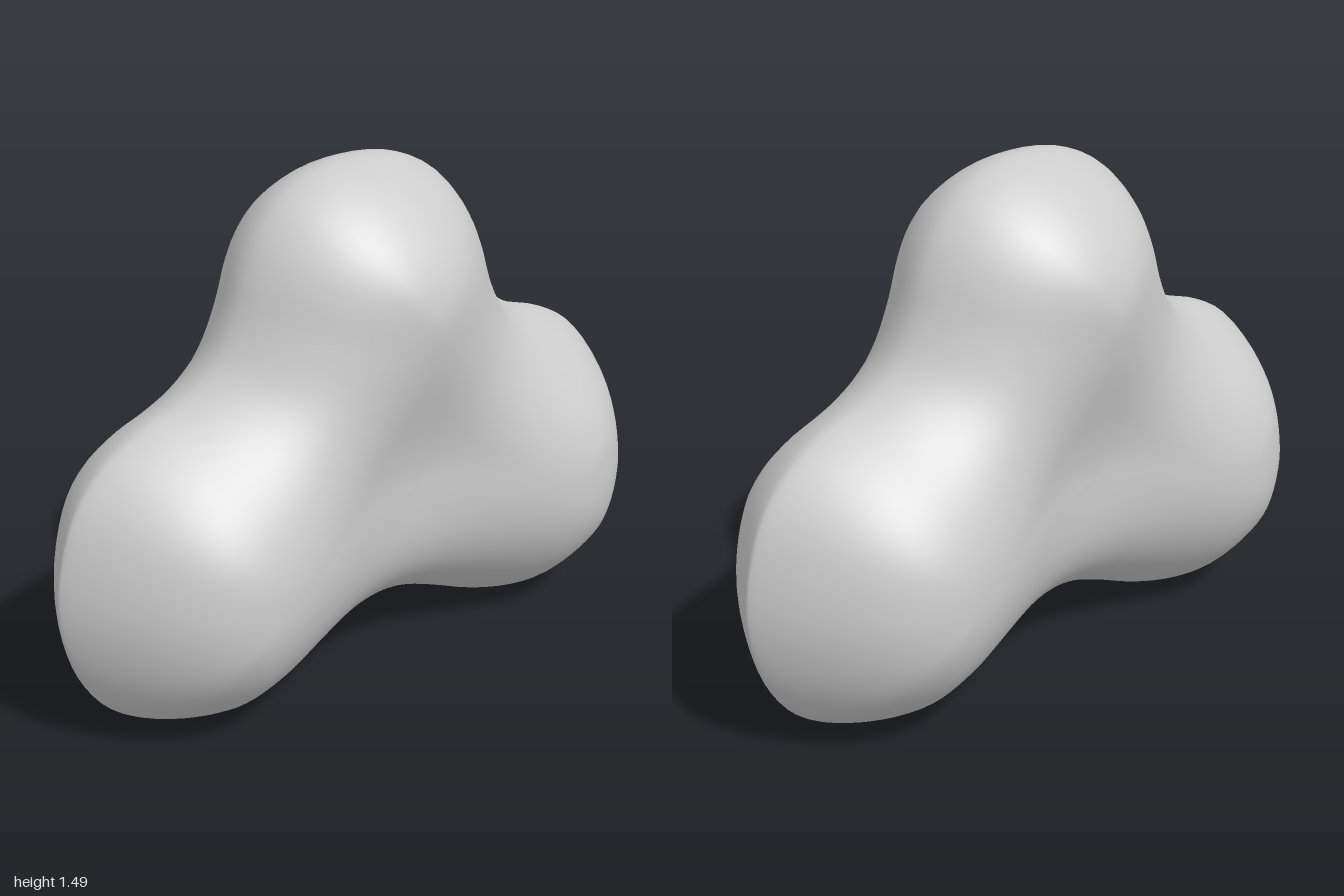
import * as THREE from 'three';

// Half outline of the three-lobed body in the z-y plane, from the crown down to the underside
const HALF = [
  [0, 1.495], [0.13, 1.48], [0.25, 1.425], [0.335, 1.335], [0.385, 1.235], [0.42, 1.13],
  [0.485, 1.01], [0.585, 0.935], [0.72, 0.89], [0.83, 0.83], [0.92, 0.735], [0.975, 0.61],
  [1, 0.46], [0.985, 0.33], [0.94, 0.21], [0.86, 0.105], [0.74, 0.035], [0.57, 0.003],
  [0.42, 0.035], [0.25, 0.105], [0.12, 0.15], [0, 0.165],
];
const CORE = [0, 0.6];    // z, y of the middle
const ROUND = 0.44;       // distance over which the sides curve in to the rim
const AROUND = 144, ROWS = 64;

function outline() {
  const mirrored = HALF.slice(1, -1).reverse().map(([z, y]) => [-z, y]);
  const points = [...HALF, ...mirrored].map(([z, y]) => new THREE.Vector3(0, y, z));
  return new THREE.CatmullRomCurve3(points, true).getSpacedPoints(AROUND).slice(0, AROUND);
}

// Shortest distance from (z, y) to the outline
function rimDistance(z, y, rim) {
  let best = Infinity;
  for (let i = 0; i < rim.length; i++) {
    const a = rim[i], b = rim[(i + 1) % rim.length];
    const dz = b.z - a.z, dy = b.y - a.y;
    const t = THREE.MathUtils.clamp(((z - a.z) * dz + (y - a.y) * dy) / (dz * dz + dy * dy), 0, 1);
    best = Math.min(best, Math.hypot(z - a.z - dz * t, y - a.y - dy * t));
  }
  return best;
}

// Half thickness: full in the lobes, dipping at the core, closing to zero at the rim
function halfWidth(z, y, rim) {
  const full = 0.378 + 0.017 * THREE.MathUtils.smoothstep(Math.abs(z), 0.1, 0.5);
  const dip = 0.115 * Math.exp(-((z - CORE[0]) ** 2) / 0.13 - (y - CORE[1]) ** 2 / 0.12);
  const t = 1 - Math.min(1, rimDistance(z, y, rim) / ROUND);
  const q = Math.max(0, 1 - t * t);
  // Round section, leaner towards the front and back ends
  const end = Math.max(0, (Math.abs(z) - 0.57) / 0.43);
  const lean = 0.42 + 0.45 * Math.min(1, end);
  return (full - dip) * THREE.MathUtils.lerp(Math.sqrt(q), q, lean);
}

function bodyGeometry() {
  const rim = outline();
  const positions = [], index = [];
  // Rows run from the left pole, over the rim, to the right pole
  for (let j = 0; j <= ROWS; j++) {
    const angle = (Math.PI * j) / ROWS;
    const s = Math.sin(angle), side = Math.sign(ROWS / 2 - j);
    for (let i = 0; i < AROUND; i++) {
      const z = CORE[0] + (rim[i].z - CORE[0]) * s;
      const y = CORE[1] + (rim[i].y - CORE[1]) * s;
      positions.push(side * halfWidth(z, y, rim), y, z);
      if (j === ROWS) continue;
      const a = j * AROUND + i, b = j * AROUND + ((i + 1) % AROUND);
      const c = a + AROUND, d = b + AROUND;
      if (j < ROWS - 1) index.push(a, c, d);
      if (j > 0) index.push(a, d, b);
    }
  }
  const geometry = new THREE.BufferGeometry();
  geometry.setAttribute('position', new THREE.Float32BufferAttribute(positions, 3));
  geometry.setIndex(index);
  geometry.computeVertexNormals();
  return geometry;
}

export function createModel() {
  const group = new THREE.Group();
  group.name = 'threeLobedBlob';
  const body = new THREE.Mesh(bodyGeometry(), new THREE.MeshStandardMaterial({ color: 0xcccccc }));
  body.name = 'body';
  group.add(body);
  return group;
}
